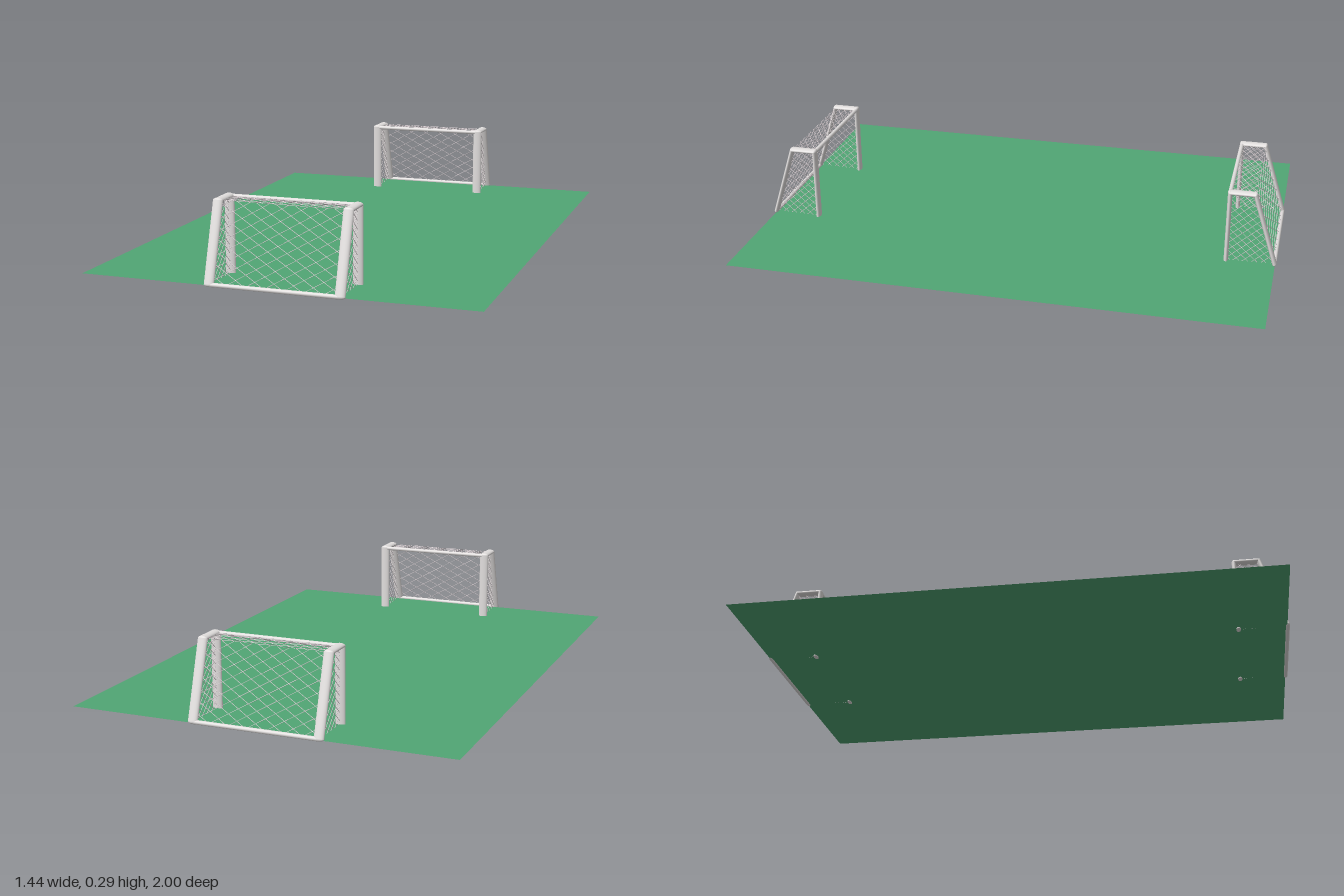
import * as THREE from 'three';
import { mergeGeometries } from 'three/addons/utils/BufferGeometryUtils.js';

const frameMat = new THREE.MeshStandardMaterial({ color: 0xe2dfde });
frameMat.name = 'frame light grey';
const netMat = new THREE.MeshStandardMaterial({ color: 0xe0d6da });
netMat.name = 'net pale grey';
const turfMat = new THREE.MeshStandardMaterial({ color: 0x51a674, side: THREE.DoubleSide });
turfMat.name = 'turf green';

const V = (x, y, z) => new THREE.Vector3(x, y, z);
const UP = V(0, 1, 0);

// Goal side outline as [z, y]: front foot, front top, rear top, rear foot
const OUTLINE = [[0.812, 0.002], [0.812, 0.282], [0.905, 0.282], [0.992, 0.009]];
const POST_X = 0.236;

// Flattened oval beam lying in a plane of constant x
function sideBeam(name, x, [z0, y0], [z1, y1]) {
  const length = Math.hypot(z1 - z0, y1 - y0);
  const beam = new THREE.Mesh(new THREE.CylinderGeometry(1, 1, length, 16), frameMat);
  beam.name = name;
  beam.scale.set(0.019, 1, 0.0085);
  beam.rotation.x = Math.atan2(z1 - z0, y1 - y0);
  beam.position.set(x, (y0 + y1) / 2, (z0 + z1) / 2);
  return beam;
}

// Round bar across the goal
function crossBar(name, y, z, radius) {
  const bar = new THREE.Mesh(new THREE.CylinderGeometry(radius, radius, POST_X * 2, 12), frameMat);
  bar.name = name;
  bar.rotation.z = Math.PI / 2;
  bar.position.set(0, y, z);
  return bar;
}

// Part of the line p + t*d inside a convex polygon, or null
function clipLine(p, d, poly) {
  let lo = -20, hi = 20;
  const area = poly.reduce((s, a, i) => {
    const b = poly[(i + 1) % poly.length];
    return s + a[0] * b[1] - b[0] * a[1];
  }, 0);
  const sign = Math.sign(area);
  poly.forEach((a, i) => {
    const b = poly[(i + 1) % poly.length];
    const nx = -(b[1] - a[1]) * sign, ny = (b[0] - a[0]) * sign;
    const dist = nx * (p[0] - a[0]) + ny * (p[1] - a[1]);
    const rate = nx * d[0] + ny * d[1];
    if (Math.abs(rate) < 1e-9) {
      if (dist < 0) hi = lo - 1;
    } else if (rate > 0) lo = Math.max(lo, -dist / rate);
    else hi = Math.min(hi, -dist / rate);
  });
  return hi - lo > 0.004 ? [lo, hi] : null;
}

// Diamond mesh of thin cords filling a polygon; place maps (u, v) to space
function netPanel(name, poly, cellU, cellV, place) {
  const cords = [];
  for (const slope of [1, -1]) {
    const d = [cellU, slope * cellV];
    for (let i = -60; i <= 60; i++) {
      const p = [(i + 0.5) * cellU, 0];
      const span = clipLine(p, d, poly);
      if (!span) continue;
      const [a, b] = span.map(t => place(p[0] + d[0] * t, p[1] + d[1] * t));
      const cord = new THREE.CylinderGeometry(0.001, 0.001, a.distanceTo(b), 6, 1, true);
      cord.applyQuaternion(new THREE.Quaternion().setFromUnitVectors(UP, b.clone().sub(a).normalize()));
      cord.translate((a.x + b.x) / 2, (a.y + b.y) / 2, (a.z + b.z) / 2);
      cords.push(cord);
    }
  }
  const mesh = new THREE.Mesh(mergeGeometries(cords), netMat);
  mesh.name = name;
  return mesh;
}

function makeGoal(name) {
  const goal = new THREE.Group();
  goal.name = name;
  const [frontFoot, frontTop, rearTop, rearFoot] = OUTLINE;

  // Side frames with rounded joints
  for (const side of [1, -1]) {
    const x = side * POST_X;
    goal.add(
      sideBeam('frontPost', x, frontFoot, frontTop),
      sideBeam('topRail', x, frontTop, rearTop),
      sideBeam('slopingLeg', x, rearTop, rearFoot)
    );
    for (const [z, y] of [frontTop, rearTop, rearFoot]) {
      const joint = new THREE.Mesh(new THREE.SphereGeometry(1, 16, 10), frameMat);
      joint.name = 'joint';
      joint.scale.set(0.0192, 0.0088, 0.0085);
      joint.position.set(x, y, z);
      goal.add(joint);
    }
    // Side net
    goal.add(netPanel('sideNet', OUTLINE, 0.034, 0.03, (u, v) => V(x, v, u)));
  }

  goal.add(crossBar('crossbar', 0.28, 0.812, 0.008), crossBar('groundBar', 0.008, 0.992, 0.008));

  // Back and top nets
  const panel = (label, [z0, y0], [z1, y1], cellU, cellV) => {
    const length = Math.hypot(z1 - z0, y1 - y0);
    const poly = [[-0.225, 0], [0.225, 0], [0.225, length], [-0.225, length]];
    return netPanel(label, poly, cellU, cellV,
      (u, v) => V(u, y0 + (y1 - y0) * v / length, z0 + (z1 - z0) * v / length));
  };
  goal.add(
    panel('backNet', rearFoot, rearTop, 0.07, 0.042),
    panel('topNet', rearTop, frontTop, 0.045, 0.026)
  );
  return goal;
}

export function createModel() {
  const model = new THREE.Group();
  model.name = 'footballPitch';

  // Flat pitch; the front posts stand slightly through it
  const pitch = new THREE.Mesh(new THREE.PlaneGeometry(1.442, 1.985), turfMat);
  pitch.name = 'pitch';
  pitch.rotation.x = -Math.PI / 2;
  pitch.position.set(-0.003, 0.005, -0.002);
  model.add(pitch);

  // Two goals facing each other
  const farGoal = makeGoal('backGoal');
  farGoal.rotation.y = Math.PI;
  model.add(makeGoal('frontGoal'), farGoal);
  return model;
}
